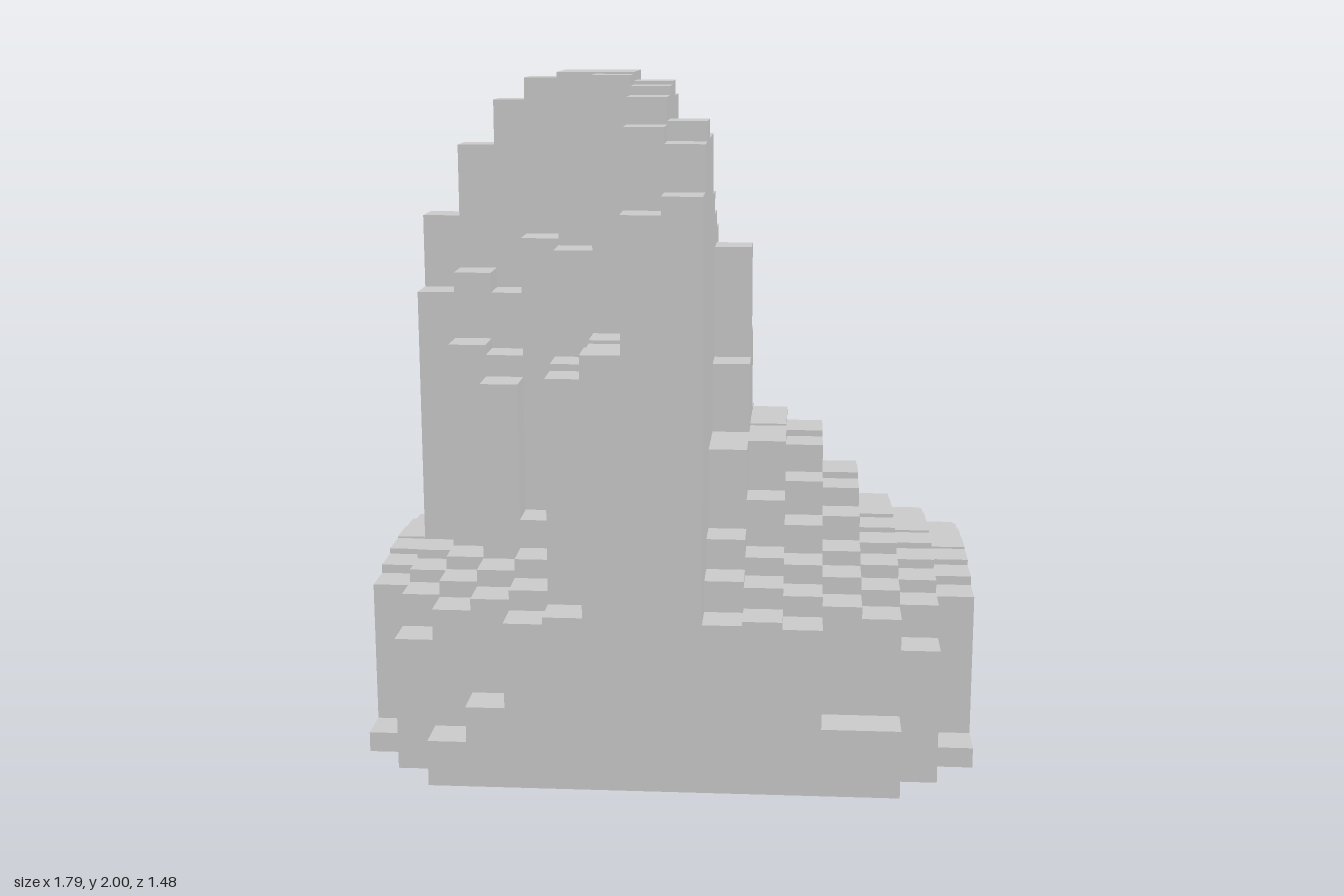
import * as THREE from 'three';
import { mergeGeometries } from 'three/addons/utils/BufferGeometryUtils.js';

const COLS = 16, ROWS = 13;
const DX = 1.79 / COLS, DZ = 1.48 / ROWS;

// Terraced hill: [distance from the middle, height]
const hillProfile = [
  [0, 0.98], [0.34, 0.92], [0.48, 0.9], [0.6, 0.77], [0.68, 0.7], [0.74, 0.63],
  [0.83, 0.605], [0.87, 0.585], [1, 0.535], [1.12, 0.485], [1.18, 0.42], [1.21, 0.39], [1.3, 0.1],
];

// Peak columns: [column, first row counted from the back, heights towards the front]
const peakColumns = [
  [1, 6, [1.56, 1.34]],
  [2, 6, [1.775, 1.4, 1.2]],
  [3, 5, [1.7, 1.91, 1.34, 1.17, 1.105]],
  [4, 5, [1.57, 1.945, 1.98, 1.52]],
  [5, 6, [1.945, 2, 2, 1.5, 1.19, 1.17]],
  [6, 6, [1.93, 2, 2, 1.995, 1.26, 1.25, 1.26]],
  [7, 5, [1.58, 1.82, 1.93, 1.975, 1.965, 1.94, 1.865, 1.64]],
  [8, 5, [1.515, 1.57, 1.64, 1.82, 1.82, 1.875, 1.82, 1.69]],
  [9, 5, [1.19, 1.47, 1.13]],
];

// Low steps and ledges that break the regular hill: [column, row, height]
const steps = [
  [0, 2, 0.06], [0, 10, 0.06], [15, 2, 0.06], [15, 10, 0.06],
  [2, 12, 0.135], [3, 12, 0.24], [12, 12, 0.2], [13, 12, 0.2],
  [2, 0, 0.23], [3, 0, 0.27], [12, 0, 0.27], [13, 0, 0.23],
  [9, 8, 0.92], [9, 9, 0.92], [10, 8, 0.92], [9, 12, 0.5],
];

function hillHeight(col, row) {
  const d = Math.hypot((col - 7.5) / 7.5, (row - 6) / 6);
  for (let k = 1; k < hillProfile.length; k++) {
    const [d0, h0] = hillProfile[k - 1], [d1, h1] = hillProfile[k];
    if (d <= d1) return THREE.MathUtils.mapLinear(d, d0, d1, h0, h1);
  }
  return 0.1;
}

// One square block standing on the ground
function block(col, row, height) {
  const g = new THREE.BoxGeometry(DX, height, DZ);
  return g.translate((col + 0.5 - COLS / 2) * DX, height / 2, (row + 0.5 - ROWS / 2) * DZ);
}

export function createModel() {
  const group = new THREE.Group();
  group.name = 'blockMountain';
  const material = new THREE.MeshStandardMaterial({ color: 0xcccccc, flatShading: true });
  const key = (col, row) => row * COLS + col;

  const peak = new Map();
  for (const [col, first, heights] of peakColumns)
    heights.forEach((h, k) => peak.set(key(col, first + k), h));
  const step = new Map(steps.map(([col, row, h]) => [key(col, row), h]));

  const hillBlocks = [], peakBlocks = [];
  for (let row = 0; row < ROWS; row++) {
    // The plan has stepped corners
    const inset = Math.max(0, 2 - Math.min(row, ROWS - 1 - row));
    for (let col = inset; col < COLS - inset; col++) {
      const k = key(col, row);
      if (peak.has(k)) peakBlocks.push(block(col, row, peak.get(k)));
      else hillBlocks.push(block(col, row, step.get(k) ?? hillHeight(col, row)));
    }
  }

  for (const [name, blocks] of [['terracedHill', hillBlocks], ['peak', peakBlocks]]) {
    const mesh = new THREE.Mesh(mergeGeometries(blocks), material);
    mesh.name = name;
    group.add(mesh);
  }
  return group;
}
